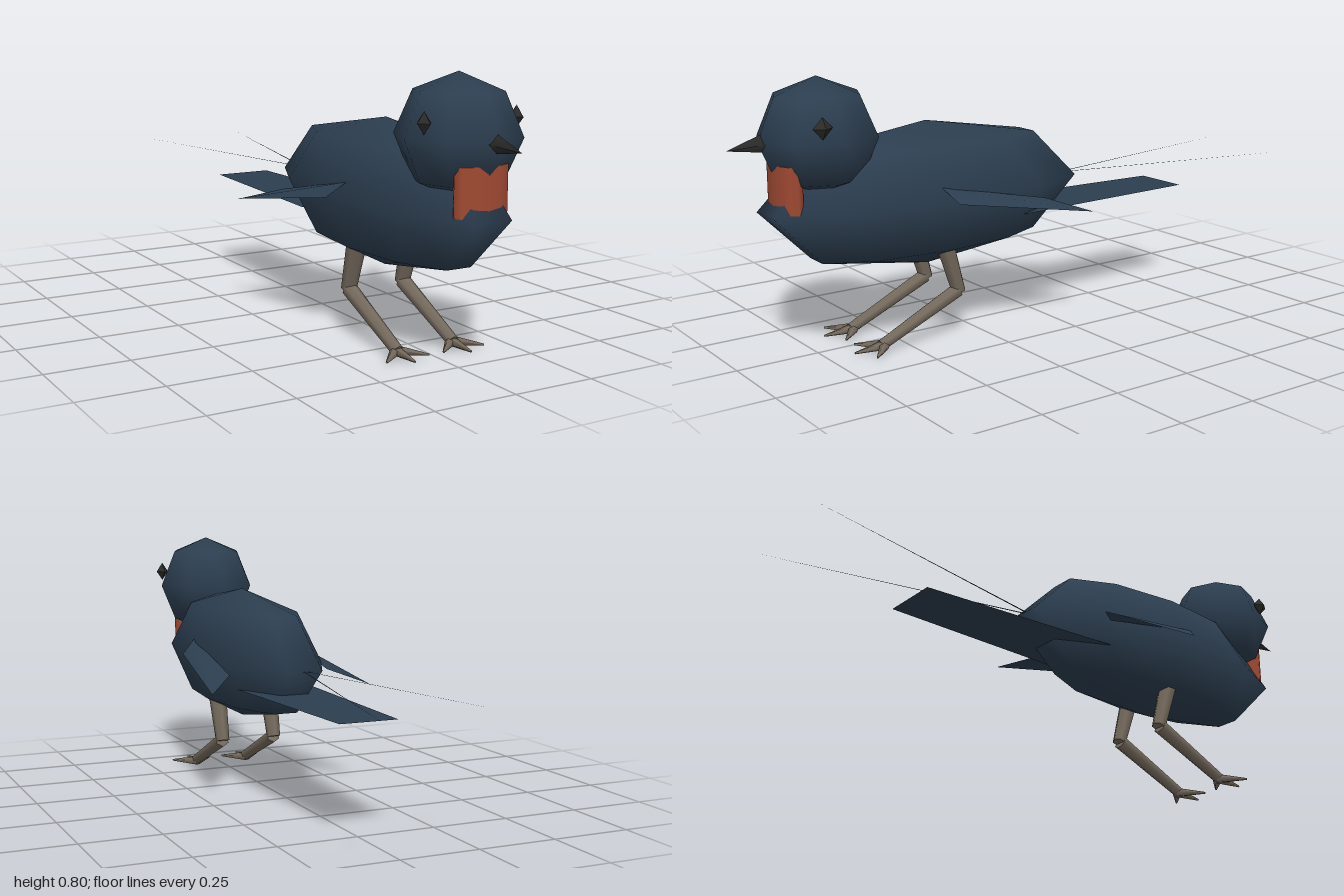
import * as THREE from 'three';

const mat = (color, extra = {}) => {
  const m = new THREE.MeshStandardMaterial({ color });
  return Object.assign(m, extra);
};
const plumage = mat(0x2c3e50);
const feather = mat(0x2c3e50, { side: THREE.DoubleSide });
const rust = mat(0xa04a32);
const horn = mat(0x2b2b2a);
const skin = mat(0x756a5d);

function add(parent, name, geometry, material, position = [0, 0, 0], scale = [1, 1, 1]) {
  const mesh = new THREE.Mesh(geometry, material);
  mesh.name = name;
  mesh.position.set(...position);
  mesh.scale.set(...scale);
  parent.add(mesh);
  return mesh;
}

// Thin flat feather from a convex outline
function sheet(points) {
  const index = [];
  for (let i = 1; i < points.length - 1; i++) index.push(0, i, i + 1);
  const g = new THREE.BufferGeometry();
  g.setAttribute('position', new THREE.Float32BufferAttribute(points.flat(), 3));
  g.setIndex(index);
  g.computeVertexNormals();
  return g;
}

// Tapered bar running from point a to point b
function limb(parent, name, a, b, ra, rb, sides, material) {
  const from = new THREE.Vector3(...a), to = new THREE.Vector3(...b);
  const dir = to.clone().sub(from);
  const g = new THREE.CylinderGeometry(rb, ra, dir.length(), sides);
  const mesh = add(parent, name, g, material);
  mesh.position.copy(from).add(to).multiplyScalar(0.5);
  mesh.quaternion.setFromUnitVectors(new THREE.Vector3(0, 1, 0), dir.normalize());
  return mesh;
}

export function createModel() {
  const bird = new THREE.Group();
  bird.name = 'bird';

  // Body and head: coarse ellipsoids
  add(bird, 'body', new THREE.SphereGeometry(1, 10, 4), plumage, [0, 0.433, 0.375], [0.18, 0.218, 0.547]);
  add(bird, 'head', new THREE.SphereGeometry(1, 8, 4), plumage, [0, 0.64, 0.727], [0.17, 0.17, 0.182]);

  // Throat patch, sunk into head and breast
  add(bird, 'throatPatch', new THREE.CylinderGeometry(1, 1, 0.135, 12), rust, [0, 0.5075, 0.832], [0.085, 1, 0.038]);

  // Beak: four-sided spike
  const beak = new THREE.ConeGeometry(0.034, 0.14, 4);
  beak.rotateX(Math.PI / 2 + 0.1);
  add(bird, 'beak', beak.toNonIndexed(), horn, [0, 0.633, 0.93]);

  // Tail fan
  add(bird, 'tail', sheet([
    [-0.125, 0.35, 0.1], [0.125, 0.35, 0.1], [0.092, 0.35, -0.565], [-0.092, 0.35, -0.565],
  ]), feather);

  for (const s of [1, -1]) {
    const side = s > 0 ? 'left' : 'right';

    add(bird, side + 'Eye', new THREE.OctahedronGeometry(1), horn, [s * 0.148, 0.687, 0.785], [0.021, 0.031, 0.03]);

    // Folded wing
    add(bird, side + 'Wing', sheet([
      [s * 0.16, 0.48, 0.42], [s * 0.21, 0.435, 0.39], [s * 0.27, 0.365, -0.05], [s * 0.17, 0.405, 0.06],
    ]), feather);

    // Tail streamer tapering to a point
    add(bird, side + 'Streamer', sheet([
      [s * 0.003, 0.433, -0.12], [s * -0.003, 0.433, -0.12], [s * 0.185, 0.433, -1],
    ]), feather);

    // Leg: thigh, shank and three toes
    const leg = new THREE.Group();
    leg.name = side + 'Leg';
    leg.position.x = s * 0.094;
    bird.add(leg);
    limb(leg, 'thigh', [0, 0.29, 0.37], [0, 0.14, 0.325], 0.03, 0.023, 6, skin);
    limb(leg, 'shank', [0, 0.142, 0.33], [0, 0.022, 0.592], 0.024, 0.018, 6, skin);
    for (const [x, z] of [[0, 0.68], [0.07, 0.645], [-0.07, 0.645]])
      limb(leg, 'toe', [0, 0.021, 0.58], [x, 0.016, z], 0.016, 0.003, 5, skin);
  }
  return bird;
}
